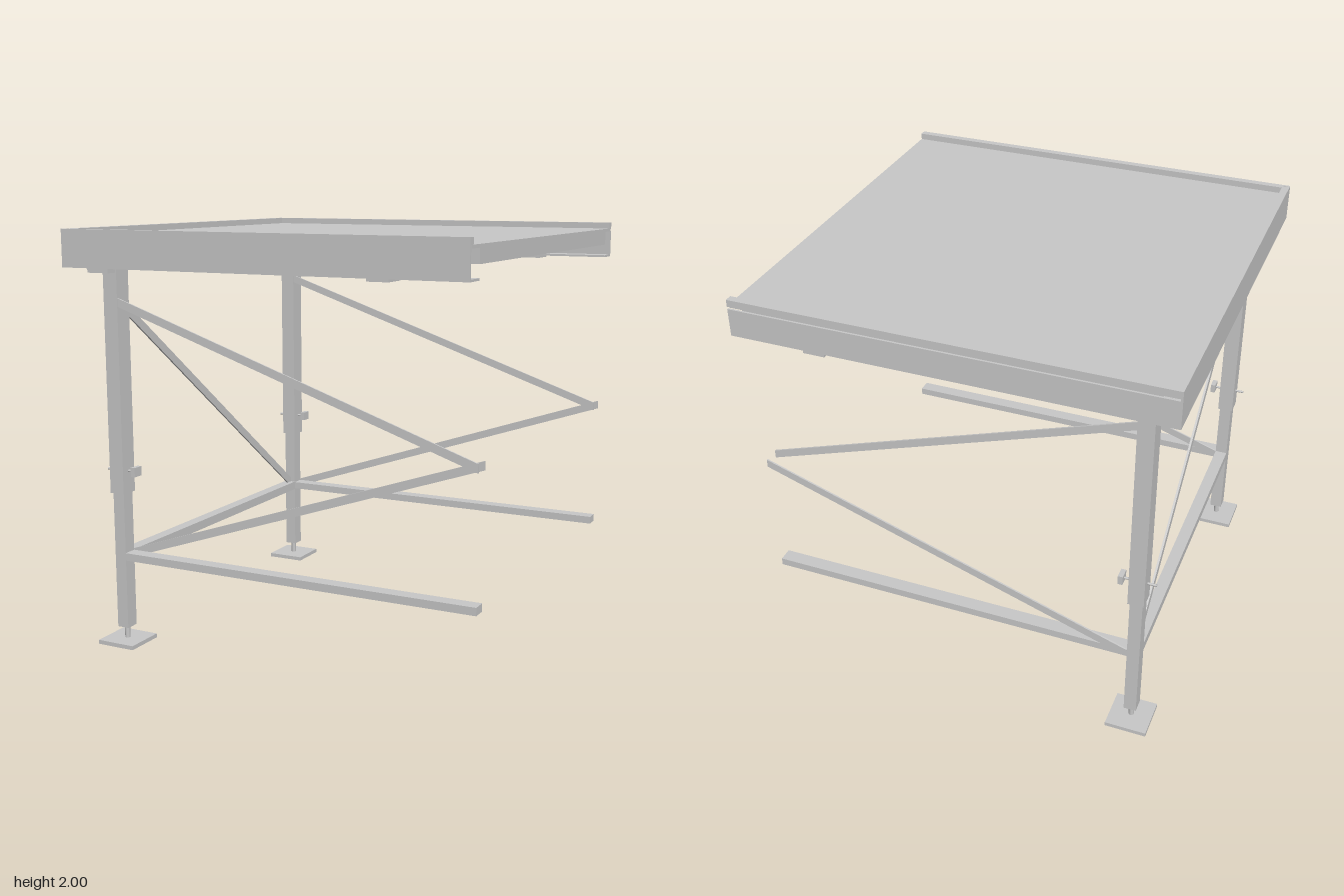
import * as THREE from 'three';

export function createModel() {
  const model = new THREE.Group();
  const steel = new THREE.MeshStandardMaterial({ color: 0xc8c8c8 });
  steel.name = 'grey steel';

  const add = (name, geometry, parent = model) => {
    const mesh = new THREE.Mesh(geometry, steel);
    mesh.name = name;
    parent.add(mesh);
    return mesh;
  };

  // Box given by its lower and upper limits on each axis
  const box = (name, [x0, x1], [y0, y1], [z0, z1], parent) =>
    add(name, new THREE.BoxGeometry(x1 - x0, y1 - y0, z1 - z0), parent)
      .position.set((x0 + x1) / 2, (y0 + y1) / 2, (z0 + z1) / 2);

  // Flat outline extruded evenly about its own plane
  const bar = (name, points, depth) => {
    const shape = new THREE.Shape(points.map(([x, y]) => new THREE.Vector2(x, y)));
    const geometry = new THREE.ExtrudeGeometry(shape, { depth, bevelEnabled: false });
    geometry.translate(0, 0, -depth / 2);
    return add(name, geometry);
  };

  // Thin deck on cross joists
  box('deckSheet', [-0.985, 1], [1.955, 1.97], [-0.985, 0.985]);
  for (const x of [-0.895, 0.02, 0.94])
    box('deckJoist', [x, x + 0.06], [1.89, 1.955], [-0.895, 0.895]);

  // Closed end of the rim
  box('endRimWeb', [-1, -0.99], [1.825, 2], [-1, 1]);
  box('endRimLip', [-0.99, -0.965], [1.97, 2], [-0.985, 0.985]);
  box('endRimFlange', [-0.99, -0.895], [1.825, 1.835], [-0.985, 0.985]);

  // Side rims: the rear one has a narrow groove below its lip
  box('frontRimWeb', [-0.99, 1], [1.825, 2], [0.99, 1]);
  box('rearRimWeb', [-0.99, 1], [1.825, 1.955], [-1, -0.99]);
  box('rearRimLipEdge', [-0.99, 1], [1.967, 2], [-1, -0.985]);

  for (const side of [1, -1]) {
    const span = (a, b) => (side > 0 ? [a, b] : [-b, -a]);
    const z = side * 0.83;

    // Inward lip, deck frame and lower flange
    box('sideRimLip', [-0.965, 1], [1.97, 2], span(0.965, 0.99));
    box('deckSideFrame', [-0.895, 1], [1.89, 1.955], span(0.885, 0.895));
    box('sideRimFlange', [-0.895, 1], [1.825, 1.835], span(0.895, 0.99));
    box('flangePlate', [0.55, 0.65], [1.813, 1.825], span(0.885, 1));

    // Telescopic leg
    const leg = new THREE.Group();
    leg.name = 'leg';
    leg.position.set(-0.83, 0, z);
    model.add(leg);
    box('upperLeg', [-0.038, 0.038], [0.75, 1.835], [-0.045, 0.045], leg);
    box('lowerLeg', [-0.03, 0.03], [0.08, 0.75], [-0.034, 0.034], leg);
    box('legHead', [-0.05, 0.05], [1.845, 1.89], [-0.055, 0.055], leg);
    box('legCapPlate', [-0.085, 0.085], [1.835, 1.845], [-0.08, 0.08], leg);
    box('capClamp', [-0.075, 0.04], [1.8, 1.822], [0.055, 0.11], leg);

    // Levelling foot
    const stem = new THREE.CylinderGeometry(0.013, 0.013, 0.07, 12);
    add('footStem', stem, leg).position.y = 0.05;
    box('footPlate', [-0.1, 0.1], [0, 0.02], [-0.1, 0.1], leg);

    // Locking pin through the sleeve
    const pin = new THREE.CylinderGeometry(0.006, 0.006, 0.16, 10).rotateZ(Math.PI / 2);
    add('lockingPin', pin, leg).position.set(0, 0.857, 0);
    box('lockingKnob', [0.07, 0.093], [0.835, 0.88], [-0.027, 0.027], leg);

    // Long rail, and flat braces on either face of the leg
    box('longRail', [-0.8, 1], [0.42, 0.457], [z - 0.034, z + 0.034]);
    bar('upperBrace', [[-0.793, 1.642], [1, 1.035], [1, 1.075], [-0.793, 1.682]], 0.008)
      .position.z = z + 0.038;
    bar('lowerBrace', [[-0.8, 0.457], [-0.7, 0.457], [1, 1.033], [1, 1.073], [-0.8, 0.465]], 0.008)
      .position.z = z - 0.038;
  }

  // Rail and flat diagonal joining the two legs
  box('crossRail', [-0.86, -0.8], [0.415, 0.46], [-0.8, 0.8]);
  const diagonal = bar('crossBrace',
    [[-0.785, 1.668], [-0.785, 1.618], [0.76, 0.46], [0.797, 0.46], [0.797, 0.482]], 0.01);
  diagonal.rotation.y = Math.PI / 2;
  diagonal.position.x = -0.83;

  return model;
}
